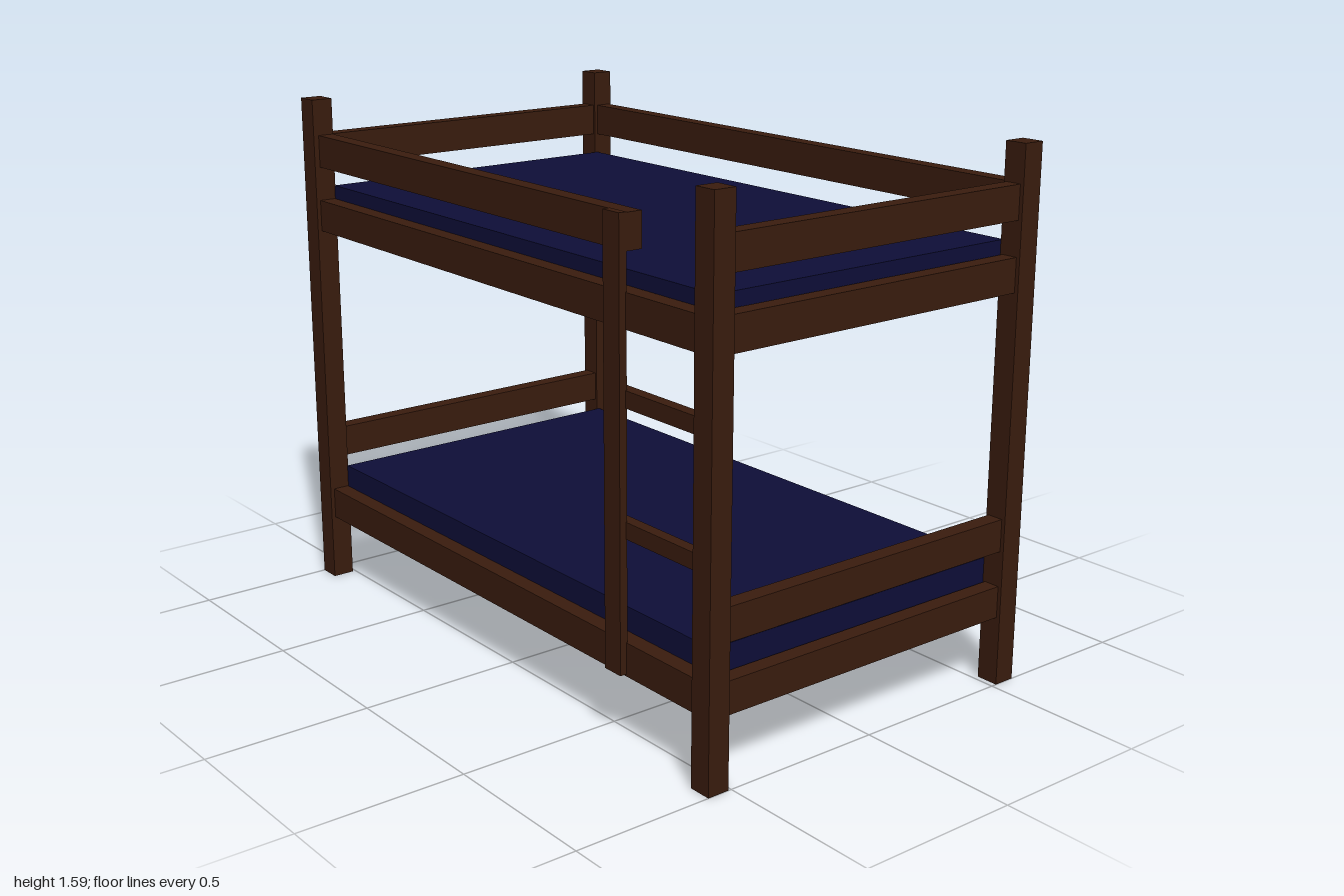
import * as THREE from 'three';

const wood = new THREE.MeshStandardMaterial({ color: 0x3a1c0e });
const fabric = new THREE.MeshStandardMaterial({ color: 0x0e0e38 });

// Box given by its extents along each axis
function block(name, [x0, x1], [y0, y1], [z0, z1], material = wood) {
  const mesh = new THREE.Mesh(new THREE.BoxGeometry(x1 - x0, y1 - y0, z1 - z0), material);
  mesh.position.set((x0 + x1) / 2, (y0 + y1) / 2, (z0 + z1) / 2);
  mesh.name = name;
  return mesh;
}

export function createModel() {
  const model = new THREE.Group();
  model.name = 'bunkBed';
  const add = (...args) => model.add(block(...args));

  const frontZ = [0.51, 0.578], backZ = [-0.585, -0.517];
  const frontRailZ = [0.514, 0.565], backRailZ = [-0.577, -0.528];
  const span = [-0.93, 0.93];
  const endSpan = [-0.52, 0.512];

  // Corner posts and end rails, mirrored left and right
  for (const side of [-1, 1]) {
    const label = side > 0 ? 'left' : 'right';
    const mirror = (a, b) => (side > 0 ? [a, b] : [-b, -a]);
    add(label + 'FrontPost', mirror(0.93, 1), [0, 1.585], frontZ);
    add(label + 'BackPost', mirror(0.93, 1), [0, 1.585], backZ);
    for (const [name, y] of [
      ['LowerEndRail', [0.207, 0.303]],
      ['LowerEndGuard', [0.41, 0.508]],
      ['UpperEndRail', [1.17, 1.27]],
      ['UpperEndGuard', [1.373, 1.473]],
    ]) add(label + name, mirror(0.938, 0.988), y, endSpan);
  }

  // Two bunks: long rails and mattress
  for (const [name, y, top] of [['lower', 0.207, 0.375], ['upper', 1.17, 1.31]]) {
    add(name + 'FrontRail', span, [y, y + 0.098], frontRailZ);
    add(name + 'BackRail', span, [y, y + 0.098], backRailZ);
    add(name + 'Mattress', span, [y + 0.03, top], [-0.527, 0.512], fabric);
  }

  // Guard rails of the upper bunk; the front one stops at the ladder
  add('backGuard', span, [1.373, 1.473], backRailZ);
  add('frontGuard', [-0.93, 0.638], [1.373, 1.473], [0.51, 0.561]);

  // Ladder
  add('ladderUpright', [0.572, 0.64], [0.213, 1.475], [0.561, 0.585]);
  for (const y of [0.6, 0.96]) add('ladderRung', [0.6, 0.935], [y, y + 0.048], [0.53, 0.565]);

  return model;
}
